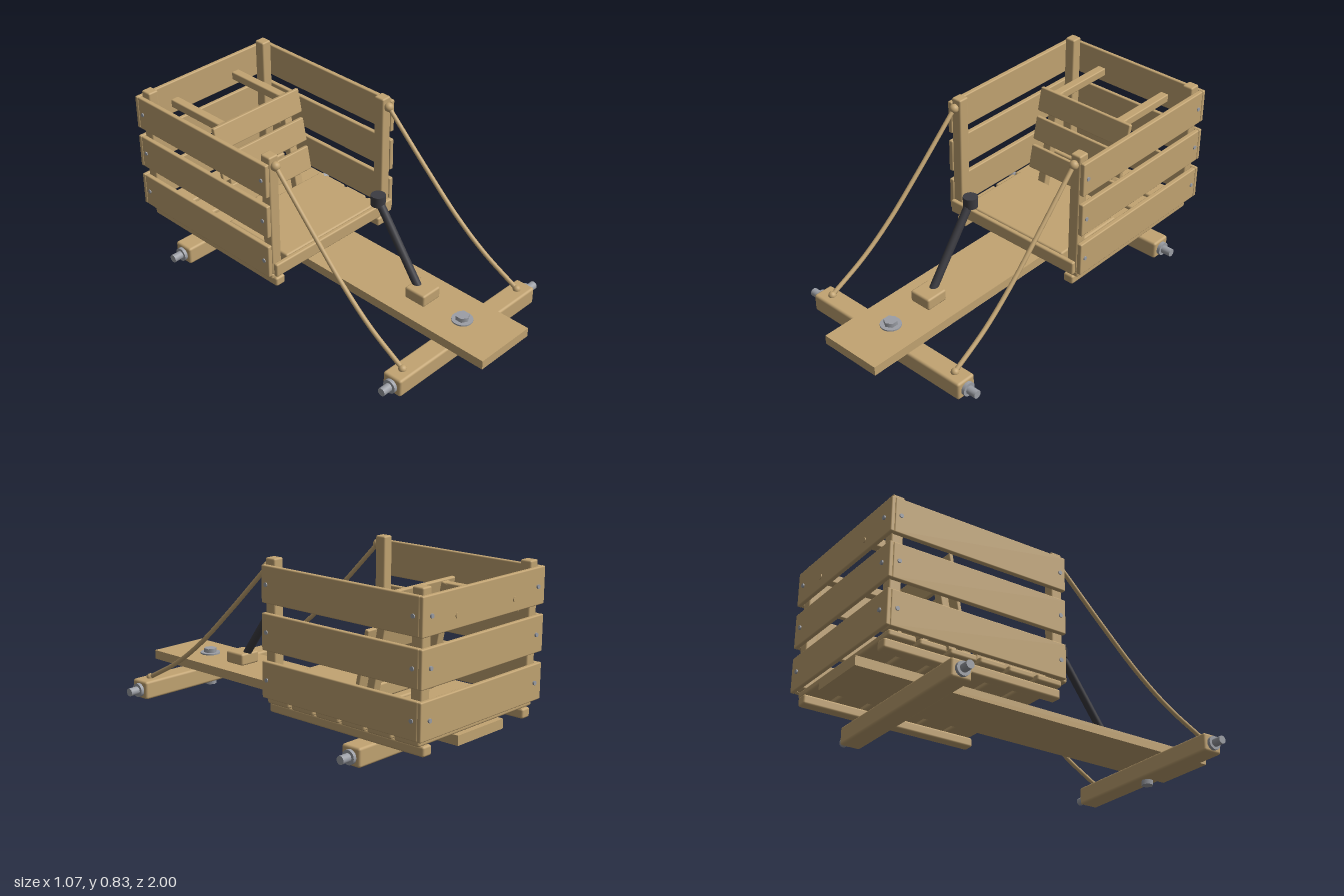
import * as THREE from 'three';
import { RoundedBoxGeometry } from 'three/addons/geometries/RoundedBoxGeometry.js';

const material = (name, color) => {
  const m = new THREE.MeshStandardMaterial({ color });
  m.name = name;
  return m;
};

export function createModel() {
  const model = new THREE.Group();
  model.name = 'woodenCart';
  const wood = material('wood', 0xc2a472);
  const steel = material('steel', 0x9c9fa6);
  const dark = material('darkIron', 0x3c3c42);

  const add = (name, geometry, mat, x = 0, y = 0, z = 0, parent = model) => {
    const mesh = new THREE.Mesh(geometry, mat);
    mesh.name = name;
    mesh.position.set(x, y, z);
    parent.add(mesh);
    return mesh;
  };
  // Softened timber given by its extents on each axis
  const timber = (name, [x0, x1], [y0, y1], [z0, z1], r = 0.006, parent = model) =>
    add(name, new RoundedBoxGeometry(x1 - x0, y1 - y0, z1 - z0, 2, r), wood,
      (x0 + x1) / 2, (y0 + y1) / 2, (z0 + z1) / 2, parent);
  const rod = (name, r, length, mat, axis, x, y, z, sides = 20) => {
    const g = new THREE.CylinderGeometry(r, r, length, sides);
    if (axis === 'x') g.rotateZ(Math.PI / 2);
    if (axis === 'z') g.rotateX(Math.PI / 2);
    return add(name, g, mat, x, y, z);
  };

  // Chassis plank and the two rails under the crate
  add('chassisPlank', new THREE.BoxGeometry(0.32, 0.046, 1.98), wood, 0, 0.138, 0.01);
  for (const s of [-1, 1]) {
    const x = s * 0.35;
    timber('floorRail', [x - 0.028, x + 0.028], [0.115, 0.162], [-0.97, -0.07], 0.01);
  }

  // Axle beams with steel spindles
  for (const z of [0.75, -0.65]) {
    timber('axleBeam', [-0.47, 0.47], [0.024, 0.114], [z - 0.052, z + 0.052], 0.012);
    for (const s of [-1, 1]) {
      rod('axleCollar', 0.034, 0.02, steel, 'x', s * 0.476, 0.067, z);
      rod('axleSpindle', 0.02, 0.08, steel, 'x', s * 0.495, 0.067, z);
    }
  }

  // Steering pivot bolt
  rod('pivotShaft', 0.022, 0.17, steel, 'y', 0, 0.09, 0.75);
  rod('pivotWasher', 0.05, 0.008, steel, 'y', 0, 0.164, 0.75, 28);
  rod('pivotHead', 0.033, 0.024, steel, 'y', 0, 0.177, 0.75, 6);
  rod('pivotNut', 0.03, 0.026, steel, 'y', 0, 0.013, 0.75, 6);

  // Crate floor slats
  for (let i = 0; i < 6; i++) {
    const z = -0.145 - i * 0.15;
    timber('floorSlat', [-0.4, 0.4], [0.163, 0.195], [z - 0.067, z + 0.067], 0.01);
  }

  // Corner posts
  for (const x of [-0.37, 0.37]) for (const z of [-0.1, -0.94])
    timber('cornerPost', [x - 0.028, x + 0.028], [0.195, 0.835], [z - 0.029, z + 0.029], 0.008);

  // Three rows of side and back boards, nailed to the posts
  for (const y of [0.28, 0.502, 0.72]) {
    const rows = [y - 0.086, y + 0.086];
    timber('backBoard', [-0.425, 0.425], rows, [-0.99, -0.969]);
    for (const s of [-1, 1]) {
      timber('sideBoard', s > 0 ? [0.399, 0.424] : [-0.424, -0.399], rows, [-0.97, -0.07]);
      for (const z of [-0.1, -0.94]) rod('sideNail', 0.01, 0.012, steel, 'x', s * 0.423, y, z, 12);
      rod('backNail', 0.01, 0.014, steel, 'z', s * 0.37, y, -0.991, 12);
    }
  }
  timber('frontSill', [-0.395, 0.395], [0.193, 0.262], [-0.071, -0.046], 0.008);

  // Seat
  timber('seat', [-0.31, 0.31], [0.195, 0.267], [-0.475, -0.068], 0.01);

  // Leaning backrest, turned about the height of its middle slat
  const backrest = new THREE.Group();
  backrest.name = 'backrest';
  backrest.position.set(0, 0.502, -0.583);
  backrest.rotation.x = -0.2;
  model.add(backrest);
  for (const y of [-0.157, 0, 0.157])
    timber('backrestSlat', [-0.28, 0.28], [y - 0.063, y + 0.063], [0.018, 0.04], 0.006, backrest);
  for (const x of [-0.2, 0.2]) {
    timber('backrestUpright', [x - 0.024, x + 0.024], [-0.31, 0.215], [-0.022, 0.02], 0.006, backrest);
    timber('backrestArm', [x - 0.023, x + 0.023], [0.67, 0.713], [-0.975, -0.61]);
    rod('armPeg', 0.013, 0.006, wood, 'z', x, 0.692, -0.991, 12);
  }

  // Hand brake: block, slanted lever and knob
  timber('brakeBlock', [-0.058, 0.058], [0.16, 0.22], [0.45, 0.567], 0.01);
  const low = new THREE.Vector3(0, 0.2, 0.485), high = new THREE.Vector3(0, 0.565, 0.225);
  const lever = add('brakeLever', new THREE.CylinderGeometry(0.02, 0.02, low.distanceTo(high), 20), dark);
  lever.position.copy(low).lerp(high, 0.5);
  lever.quaternion.setFromUnitVectors(new THREE.Vector3(0, 1, 0), high.clone().sub(low).normalize());
  rod('brakeKnob', 0.035, 0.052, dark, 'y', 0, 0.568, 0.222, 24);

  // Sagging steering ropes with knots at both ends
  for (const s of [-1, 1]) {
    const curve = new THREE.CatmullRomCurve3([
      new THREE.Vector3(s * 0.371, 0.79, -0.06),
      new THREE.Vector3(s * 0.379, 0.535, 0.195),
      new THREE.Vector3(s * 0.386, 0.36, 0.38),
      new THREE.Vector3(s * 0.393, 0.23, 0.55),
      new THREE.Vector3(s * 0.4, 0.118, 0.75),
    ]);
    add('steeringRope', new THREE.TubeGeometry(curve, 28, 0.011, 10), wood);
    add('upperKnot', new THREE.SphereGeometry(0.023, 16, 12), wood, s * 0.371, 0.79, -0.06);
    add('lowerKnot', new THREE.SphereGeometry(0.019, 16, 12), wood, s * 0.4, 0.117, 0.75);
  }
  return model;
}
